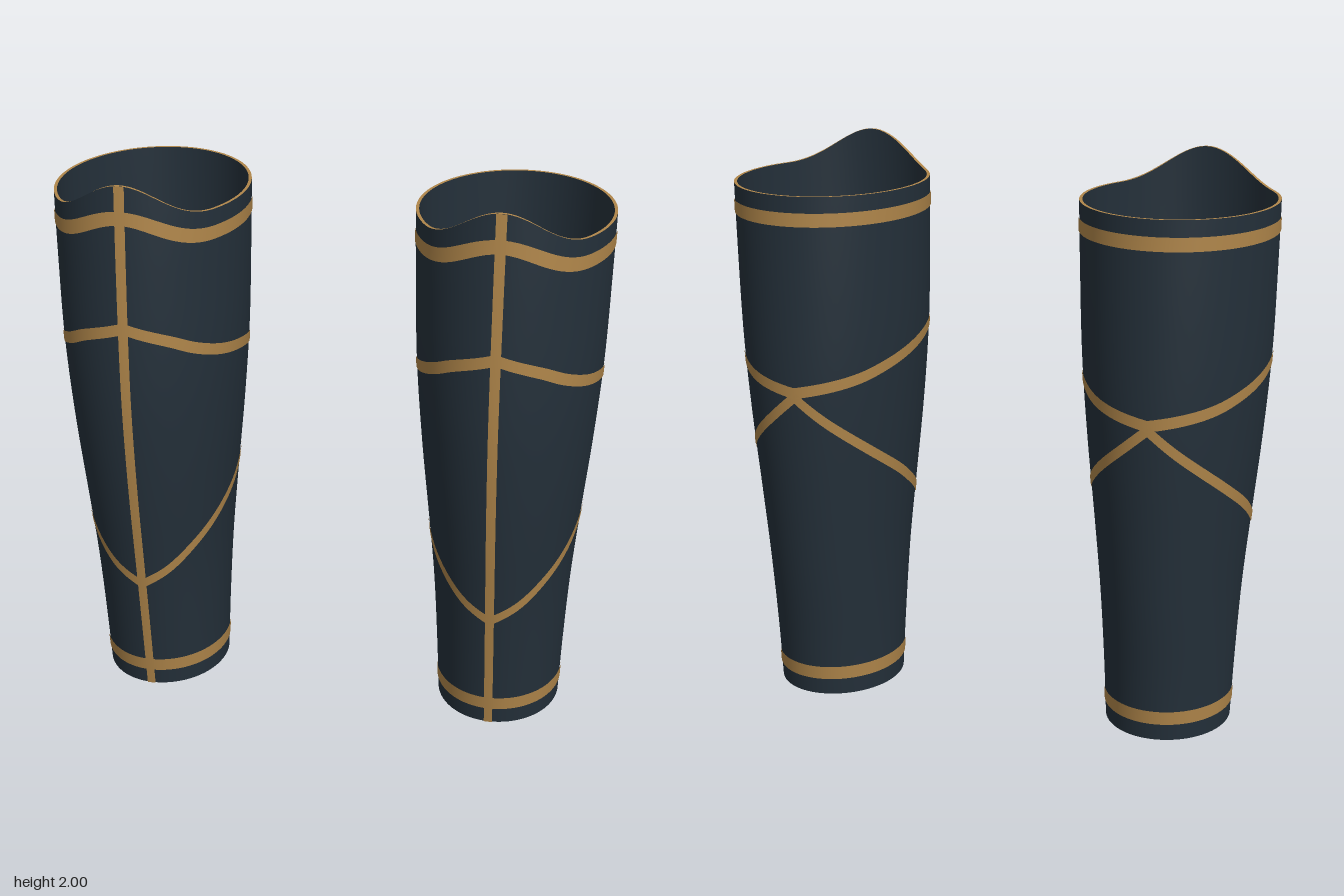
import * as THREE from 'three';
import { mergeVertices } from 'three/addons/utils/BufferGeometryUtils.js';

const LEG_X = 0.636, WALL = 0.011, RAISE = 0.003;

// Smooth curve through [position, value] pairs
function spline(pairs) {
  const c = new THREE.CubicInterpolant(pairs.map(p => p[0]), pairs.map(p => p[1]), 1, new Array(1));
  return t => c.evaluate(t)[0];
}

// Half width, front depth and back depth of the sleeve by height
const halfWidth = spline([[0, 0.222], [0.2, 0.23], [0.5, 0.247], [0.75, 0.27], [1.05, 0.3], [1.35, 0.323], [1.65, 0.333], [1.88, 0.338], [2, 0.339]]);
const front = spline([[0, 0.256], [0.25, 0.29], [0.5, 0.326], [0.8, 0.37], [1.0, 0.393], [1.2, 0.408], [1.4, 0.411], [1.7, 0.402], [1.88, 0.393], [2, 0.386]]);
const back = spline([[0, 0.272], [0.2, 0.294], [0.5, 0.333], [0.8, 0.366], [1.0, 0.385], [1.2, 0.399], [1.5, 0.405], [1.88, 0.405], [2, 0.405]]);

// Rise of the top edge over the shin, 1 at the front and 0 past the sides
function crest(a) {
  const dx = Math.abs(0.338 * Math.sin(a));
  return Math.cos(a) > 0 && dx < 0.28 ? 0.5 + 0.5 * Math.cos(Math.PI * dx / 0.28) : 0;
}
const rimY = a => 1.885 + 0.115 * crest(a);

// Trim lines: height by angle from the front (0) to the back (PI)
const upperLine = spline([[0, 1.5], [0.48, 1.448], [0.75, 1.406], [1.06, 1.367], [1.57, 1.322], [2.08, 1.27], [2.42, 1.235], [Math.PI, 1.187]]);
const lowerLine = spline([[0, 0.46], [0.4, 0.525], [0.76, 0.605], [0.97, 0.652], [1.29, 0.725], [1.57, 0.787], [1.83, 0.85], [2.12, 0.918], [2.46, 1.0], [2.83, 1.09], [Math.PI, 1.172]]);

// Point on the sleeve at an angle and height, pushed out by off
function onSleeve(a, y, off = 0) {
  const mid = (front(y) - back(y)) / 2, depth = (front(y) + back(y)) / 2;
  return [(halfWidth(y) + off) * Math.sin(a), y, mid + (depth + off) * Math.cos(a)];
}

// Grid surface from a rule f(u, v); faces point along du x dv
function surface(f, nu, nv, flip = false) {
  const pos = [], idx = [];
  for (let j = 0; j <= nv; j++)
    for (let i = 0; i <= nu; i++) pos.push(...f(i / nu, j / nv));
  for (let j = 0; j < nv; j++)
    for (let i = 0; i < nu; i++) {
      const a = j * (nu + 1) + i, b = a + 1, c = b + nu + 1, d = a + nu + 1;
      if (flip) idx.push(a, c, b, a, d, c);
      else idx.push(a, b, c, a, c, d);
    }
  let g = new THREE.BufferGeometry();
  g.setAttribute('position', new THREE.Float32BufferAttribute(pos, 3));
  g.setIndex(idx);
  g = mergeVertices(g, 1e-5);
  g.computeVertexNormals();
  return g;
}

const angle = u => (u * 2 - 1) * Math.PI;

// Ribbon around the leg following a height rule, of even width
function ribbon(line, half) {
  const e = 0.02;
  return surface((u, v) => {
    const a = angle(u), t = Math.abs(a);
    const lo = Math.max(0, t - e), hi = Math.min(Math.PI, t + e);
    const slope = (line(hi) - line(lo)) / (hi - lo) / 0.33;
    return onSleeve(a, line(t) + (v * 2 - 1) * half * Math.hypot(1, slope), RAISE);
  }, 128, 2);
}

export function createModel() {
  const cloth = new THREE.MeshStandardMaterial({ color: 0x24303a });
  cloth.name = 'dark slate';
  const trim = new THREE.MeshStandardMaterial({ color: 0xb0864a });
  trim.name = 'bronze';

  const rim = (a, top, off) => {
    const y = top ? rimY(a) : 0;
    return onSleeve(a, y, off);
  };
  const parts = [
    ['outerSleeve', surface((u, v) => onSleeve(angle(u), v * rimY(angle(u))), 128, 60), cloth],
    ['innerLining', surface((u, v) => onSleeve(angle(u), v * rimY(angle(u)), -WALL), 128, 60, true), cloth],
    ['topEdge', surface((u, v) => rim(angle(u), true, -WALL * v), 128, 1), trim],
    ['bottomEdge', surface((u, v) => rim(angle(u), false, WALL * (v - 1)), 128, 1), trim],
    ['topBand', ribbon(a => 1.804 + 0.085 * crest(a), 0.024), trim],
    ['bottomBand', ribbon(() => 0.087, 0.025), trim],
    ['upperDiagonalTrim', ribbon(upperLine, 0.02), trim],
    ['lowerDiagonalTrim', ribbon(lowerLine, 0.017), trim],
    // Straight strip down the shin, slightly wider at the top
    ['shinStrip', surface((u, v) => {
      const y = v * 2, a = (u * 2 - 1) * (0.015 + 0.003 * v) / halfWidth(y);
      return onSleeve(a, v * rimY(a), RAISE + 0.0005);
    }, 4, 60), trim],
  ];

  const model = new THREE.Group();
  model.name = 'legGuards';
  for (const [name, side] of [['leftLegGuard', 1], ['rightLegGuard', -1]]) {
    const leg = new THREE.Group();
    leg.name = name;
    for (const [part, geometry, material] of parts) {
      const mesh = new THREE.Mesh(geometry, material);
      mesh.name = part;
      leg.add(mesh);
    }
    leg.position.x = side * LEG_X;
    model.add(leg);
  }
  return model;
}
